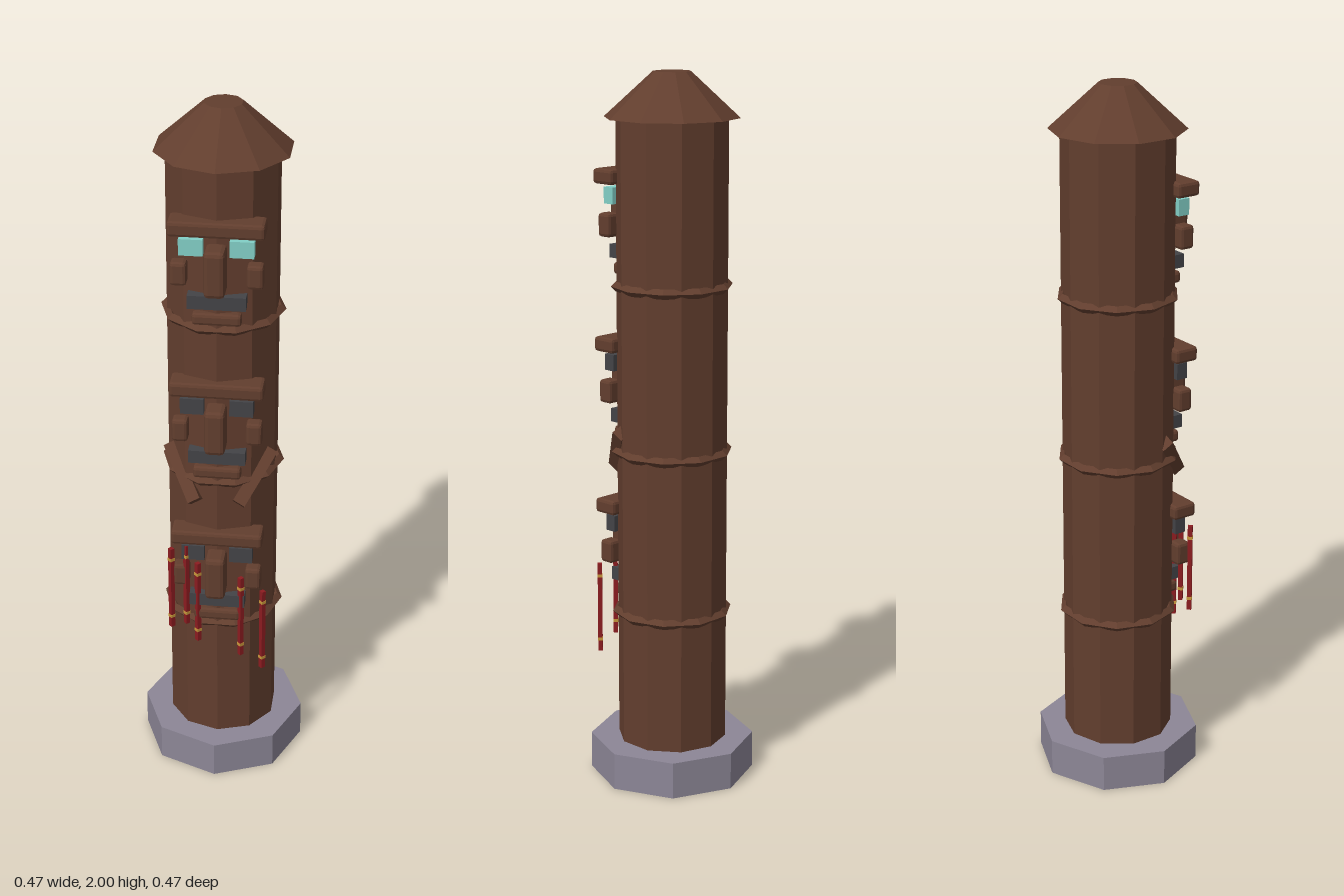
import * as THREE from 'three';
import { RoundedBoxGeometry } from 'three/addons/geometries/RoundedBoxGeometry.js';

const mat = (name, color) => {
  const m = new THREE.MeshStandardMaterial({ color, flatShading: true });
  m.name = name;
  return m;
};

export function createModel() {
  const wood = mat('wood', 0x623e2e);
  const stone = mat('stone', 0x8c8696);
  const teal = mat('glowing teal', 0x82cfc6);
  const charcoal = mat('charcoal', 0x434347);
  const red = mat('red paper', 0x8c1c20);
  const gold = mat('gold', 0xc8963a);

  const model = new THREE.Group();
  model.name = 'carvedPole';
  const add = (parent, name, geometry, material, x = 0, y = 0, z = 0) => {
    const mesh = new THREE.Mesh(geometry, material);
    mesh.name = name;
    mesh.position.set(x, y, z);
    parent.add(mesh);
    return mesh;
  };
  const chamferBox = (w, h, d, r = 0.009) => new RoundedBoxGeometry(w, h, d, 1, r);

  // Plinth, trunk and cap
  add(model, 'plinth', new THREE.CylinderGeometry(0.233, 0.233, 0.105, 8), stone, 0, 0.0525, 0);
  add(model, 'trunk', new THREE.CylinderGeometry(0.155, 0.155, 1.878, 10), wood, 0, 0.941, 0);
  add(model, 'cap', new THREE.CylinderGeometry(0.052, 0.187, 0.123, 10), wood, 0, 1.9385, 0);

  // Three stacked faces, each with a ring below it
  const step = 0.467;
  for (let i = 0; i < 3; i++) {
    const face = new THREE.Group();
    face.name = ['topFace', 'middleFace', 'bottomFace'][i];
    face.position.y = 1.42 - i * step;
    model.add(face);

    const ring = add(face, 'ring', new THREE.TorusGeometry(0.156, 0.014, 4, 10), wood);
    ring.rotation.x = Math.PI / 2;

    add(face, 'brow', chamferBox(0.255, 0.042, 0.073), wood, 0, 0.295, 0.144);
    add(face, 'nose', chamferBox(0.056, 0.13, 0.075, 0.012), wood, 0, 0.186, 0.181);
    add(face, 'mouth', new THREE.BoxGeometry(0.156, 0.038, 0.034), charcoal, 0, 0.085, 0.148);
    add(face, 'lowerLip', chamferBox(0.132, 0.034, 0.034), wood, 0, 0.035, 0.149);
    for (const side of [-1, 1]) {
      add(face, 'eye', new THREE.BoxGeometry(0.064, 0.046, 0.034), i === 0 ? teal : charcoal,
        side * 0.067, 0.241, 0.148);
      add(face, 'cheek', chamferBox(0.044, 0.066, 0.044), wood, side * 0.101, 0.162, 0.144);
    }
  }

  // Arms folded down across the trunk
  for (const side of [-1, 1]) {
    const hand = new THREE.Vector3(side * 0.06, 0.893, 0.158);
    const shoulder = new THREE.Vector3(side * 0.14, 1.015, 0.058);
    const dir = shoulder.clone().sub(hand);
    const arm = add(model, side > 0 ? 'leftArm' : 'rightArm',
      new THREE.BoxGeometry(0.036, dir.length(), 0.036), wood);
    arm.position.copy(hand).add(shoulder).multiplyScalar(0.5);
    arm.quaternion.setFromUnitVectors(new THREE.Vector3(0, 1, 0), dir.normalize());
  }

  // Hanging red sticks with gold bands: x, centre y
  const sticks = [[-0.129, 0.603], [-0.086, 0.617], [-0.054, 0.56], [0.068, 0.52], [0.13, 0.48]];
  for (const [x, y] of sticks) {
    const stick = new THREE.Group();
    stick.name = 'hangingStick';
    stick.position.set(x, y, 0.161);
    model.add(stick);
    add(stick, 'stickBody', new THREE.CylinderGeometry(0.009, 0.009, 0.262, 4), red);
    for (const end of [-1, 1]) {
      add(stick, 'stickBand', new THREE.CylinderGeometry(0.0105, 0.0105, 0.009, 4), gold, 0, end * 0.095, 0);
    }
  }
  return model;
}
